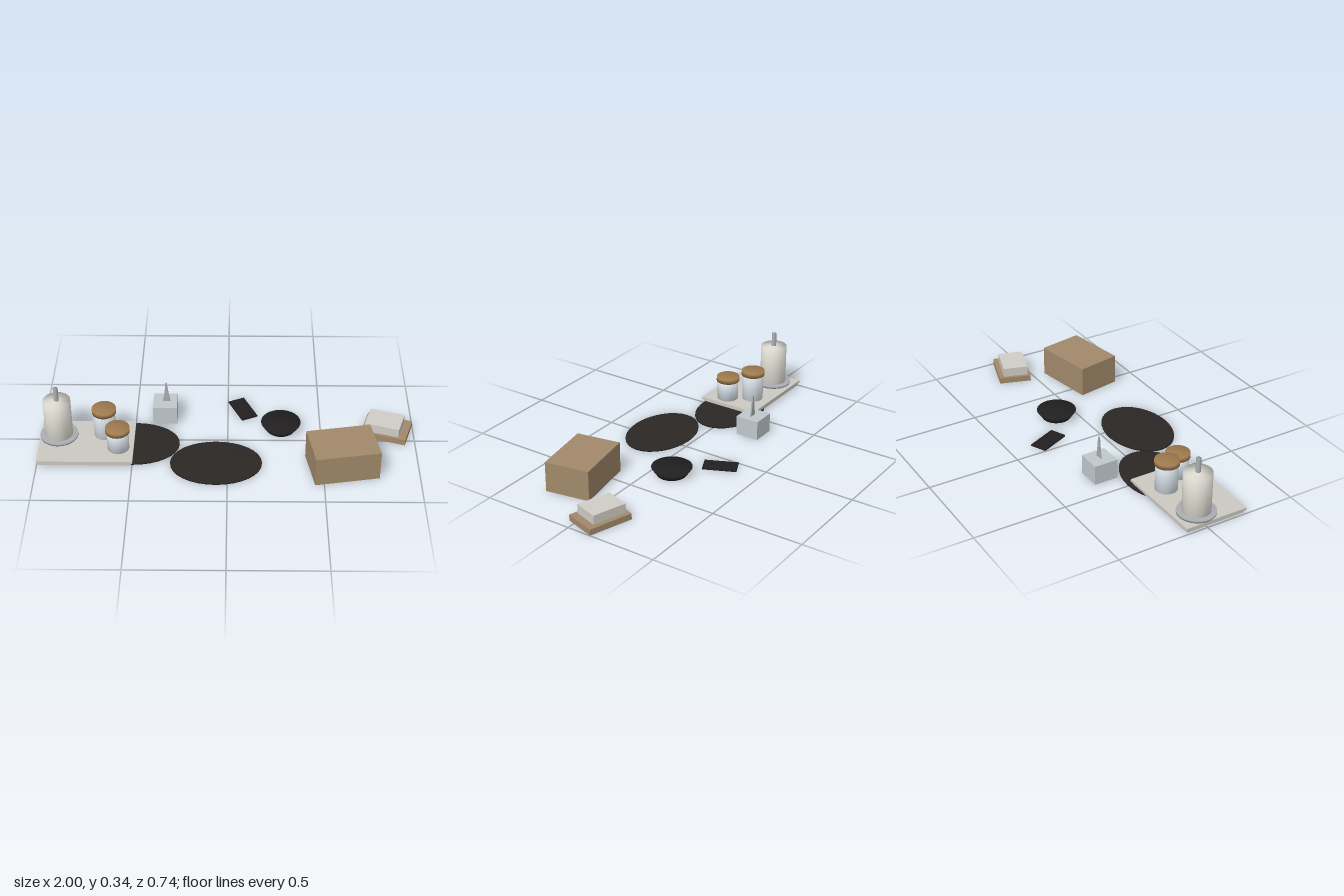
import * as THREE from 'three';

const mat = (color) => new THREE.MeshStandardMaterial({ color });
const MATS = {
  stone: mat(0xccc8c1), metal: mat(0xa9adb3), paper: mat(0xe4e2d8), glass: mat(0xd8e2e8),
  wood: mat(0x9f7a4e), carton: mat(0xa1896a), black: mat(0x211f1f), cloth: mat(0x2b2725),
  pale: mat(0xc0c8cc), page: mat(0xd0ccc6),
};

export function createModel() {
  const root = new THREE.Group();

  const add = (name, geometry, material, x, y, z, turn = 0) => {
    const mesh = new THREE.Mesh(geometry, MATS[material]);
    mesh.name = name;
    mesh.position.set(x, y, z);
    mesh.rotation.y = turn;
    root.add(mesh);
    return mesh;
  };

  // Box resting on height y
  const box = (name, material, [w, h, d], x, y, z, turn) =>
    add(name, new THREE.BoxGeometry(w, h, d), material, x, y + h / 2, z, turn);

  // Closed round solid with softly shaded rims, resting on height y
  const round = (name, material, rBottom, rTop, h, x, y, z) => {
    const profile = [[0, 0], [rBottom, 0], [rTop, h], [0, h]].map(([r, v]) => new THREE.Vector2(r, v));
    return add(name, new THREE.LatheGeometry(profile, 32), material, x, y, z);
  };

  // Oval place mats
  for (const [x, z] of [[-0.497, 0.038], [-0.06, 0.197]]) {
    round('placeMat', 'cloth', 1, 1, 0.008, x, 0, z).scale.set(0.241, 1, 0.174);
  }

  // Two-layer serving board
  box('boardFoot', 'stone', [0.485, 0.016, 0.335], -0.748, 0.004, 0.055);
  box('boardTop', 'stone', [0.502, 0.013, 0.35], -0.748, 0.02, 0.055);

  // Paper roll on its stand
  round('rollBase', 'metal', 0.1, 0.1, 0.012, -0.9, 0.033, 0.002);
  round('paperRoll', 'paper', 0.073, 0.073, 0.218, -0.9, 0.045, 0.002);
  round('rollPost', 'metal', 0.013, 0.013, 0.294, -0.9, 0.045, 0.002);

  // Lidded jars
  for (const [x, z, h] of [[-0.655, -0.011, 0.144], [-0.577, 0.106, 0.107]]) {
    round('jarBody', 'glass', 0.058, 0.058, h, x, 0.033, z);
    round('jarLid', 'wood', 0.064, 0.064, 0.026, x, 0.033 + h, z);
  }

  // Pedestal with a thin tapering ornament
  box('pedestal', 'pale', [0.13, 0.107, 0.132], -0.341, 0, -0.209);
  const half = [[0.021, 0], [0.013, 0.035], [0.009, 0.07], [0.005, 0.1], [0.005, 0.112], [0.002, 0.118]];
  const outline = [...half, ...half.map(([x, y]) => [-x, y]).reverse()];
  const ornament = new THREE.ExtrudeGeometry(
    new THREE.Shape(outline.map(([x, y]) => new THREE.Vector2(x, y))),
    { depth: 0.008, bevelEnabled: false },
  );
  add('ornament', ornament, 'metal', -0.334, 0.107, -0.212);

  // Flat dark slab and shallow dish
  box('flatSlab', 'black', [0.092, 0.008, 0.18], 0.082, 0, -0.273, 0.43);
  round('dish', 'black', 0.078, 0.107, 0.043, 0.286, 0, -0.108);

  // Large carton
  box('carton', 'carton', [0.342, 0.165, 0.244], 0.6, 0, 0.22, 0.173);

  // Wooden base carrying a pale block
  box('blockBase', 'carton', [0.244, 0.033, 0.177], 0.856, 0, -0.085, -0.311);
  box('paleBlock', 'page', [0.188, 0.05, 0.138], 0.843, 0.033, -0.083, -0.311);

  return root;
}
